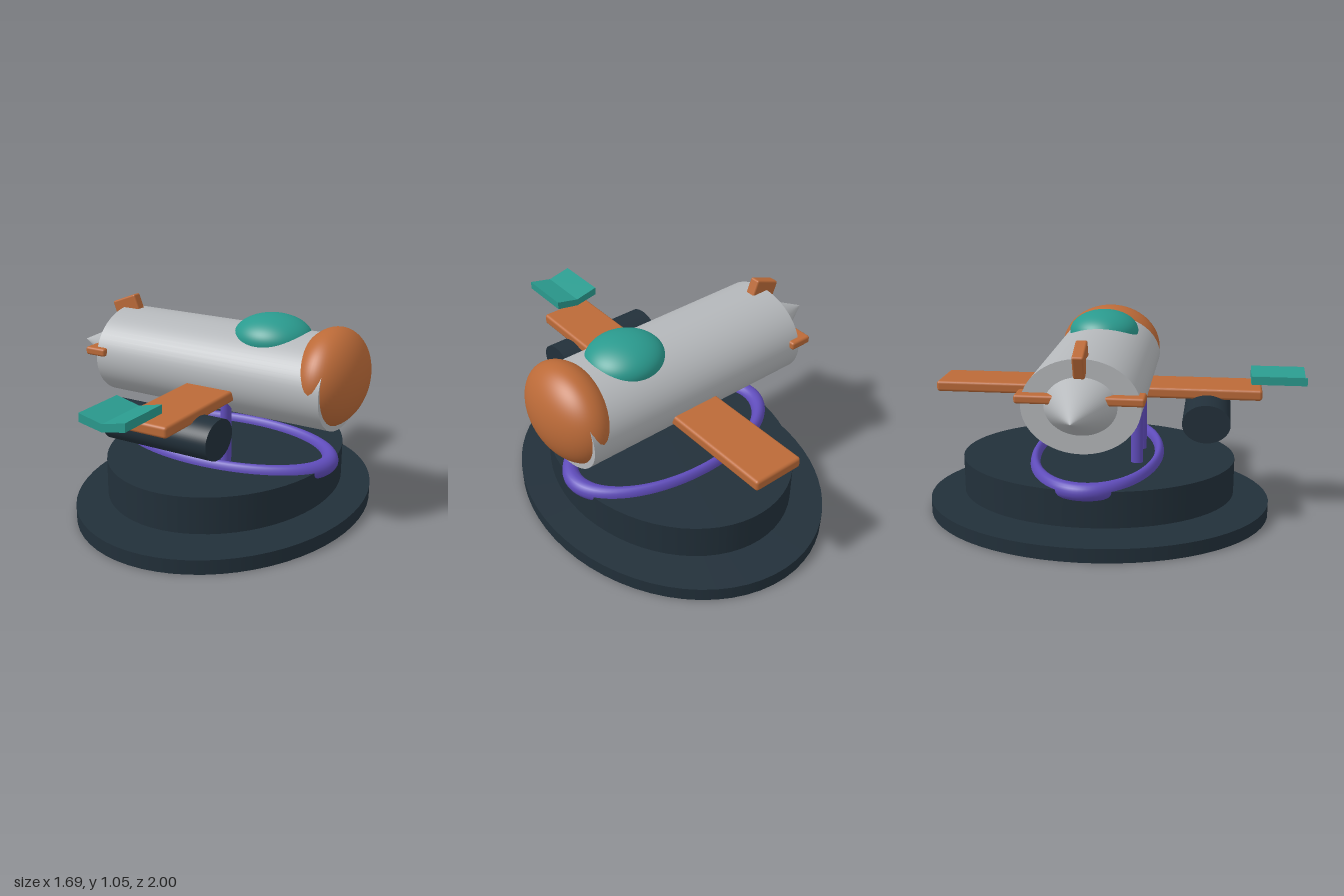
import * as THREE from 'three';
import { RoundedBoxGeometry } from 'three/addons/geometries/RoundedBoxGeometry.js';

const mat = (name, color) => {
  const m = new THREE.MeshStandardMaterial({ color });
  m.name = name;
  return m;
};

export function createModel() {
  const dark = mat('slate', 0x22303a);
  const silver = mat('silver', 0xb4b7ba);
  const copper = mat('copper', 0xbb6a38);
  const teal = mat('teal', 0x2a9a8e);
  const purple = mat('purple', 0x5f4cba);

  const model = new THREE.Group();
  const CX = 0.088, CZ = -0.08; // centre of the stand

  const add = (name, geometry, material, x, y, z) => {
    const mesh = new THREE.Mesh(geometry, material);
    mesh.name = name;
    mesh.position.set(x, y, z);
    model.add(mesh);
    return mesh;
  };
  // upright elliptical cylinder
  const disc = (rx, rz, h) => new THREE.CylinderGeometry(1, 1, h, 64).scale(rx, 1, rz);
  // elliptical cylinder lying along x; rEnd is the radius factor at the -x end
  const barrel = (ry, rz, length, rEnd = 1) =>
    new THREE.CylinderGeometry(rEnd, 1, length, 64).rotateZ(Math.PI / 2).scale(1, ry, rz);
  const ellipsoid = (rx, ry, rz) => new THREE.SphereGeometry(1, 64, 40).scale(rx, ry, rz);

  // stand: two stacked discs with a slim gap
  add('standBase', disc(0.738, 0.92, 0.074), dark, CX, 0.037, CZ);
  add('standPlatform', disc(0.586, 0.732, 0.19), dark, CX, 0.209, CZ);

  // oval ring half sunk into the platform
  const ring = new THREE.TorusGeometry(0.58, 0.045, 20, 96).rotateX(Math.PI / 2).scale(1, 1, 0.566);
  add('standRing', ring, purple, CX, 0.3, CZ);

  // landing struts with wheels
  for (const x of [-0.03, 0.205]) {
    add('strut', disc(0.026, 0.032, 0.56), purple, x, 0.42, 0.14);
    add('wheel', barrel(0.065, 0.08, 0.06), dark, x, 0.13, 0.14);
  }

  // body, tail cone, nose and canopy
  add('fuselage', barrel(0.23, 0.285, 1.28), silver, 0.09, 0.742, CZ);
  add('tailCone', barrel(0.141, 0.174, 0.295, 0), silver, -0.6975, 0.745, CZ);
  add('nose', ellipsoid(0.165, 0.245, 0.285), copper, 0.677, 0.77, CZ);
  add('canopy', ellipsoid(0.2, 0.113, 0.187), teal, 0.346, 0.93, CZ);

  // wing passing through the body
  add('wing', new RoundedBoxGeometry(0.27, 0.057, 1.72, 3, 0.015), copper, 0.135, 0.674, CZ);

  // tail fins
  add('tailBar', new RoundedBoxGeometry(0.12, 0.042, 0.61, 3, 0.012), copper, -0.547, 0.786, CZ);
  const fin = add('tailFin', new RoundedBoxGeometry(0.153, 0.12, 0.056, 3, 0.01), copper, -0.535, 0.965, CZ);
  fin.rotation.z = 0.37;

  // chevron plate beyond the left wing tip
  const chevron = new THREE.Shape([
    [-0.124, 0.033], [0, 0.005], [0.124, 0.033],
    [0.124, -0.009], [0, -0.033], [-0.124, -0.009],
  ].map(([x, y]) => new THREE.Vector2(x, y)));
  add('wingtipPlate',
    new THREE.ExtrudeGeometry(chevron, { depth: 0.278, bevelEnabled: false }),
    teal, 0.089, 0.751, 0.722);

  // pod slung under the wing
  add('pod', barrel(0.098, 0.121, 0.575), dark, 0.0875, 0.572, 0.5);

  return model;
}
